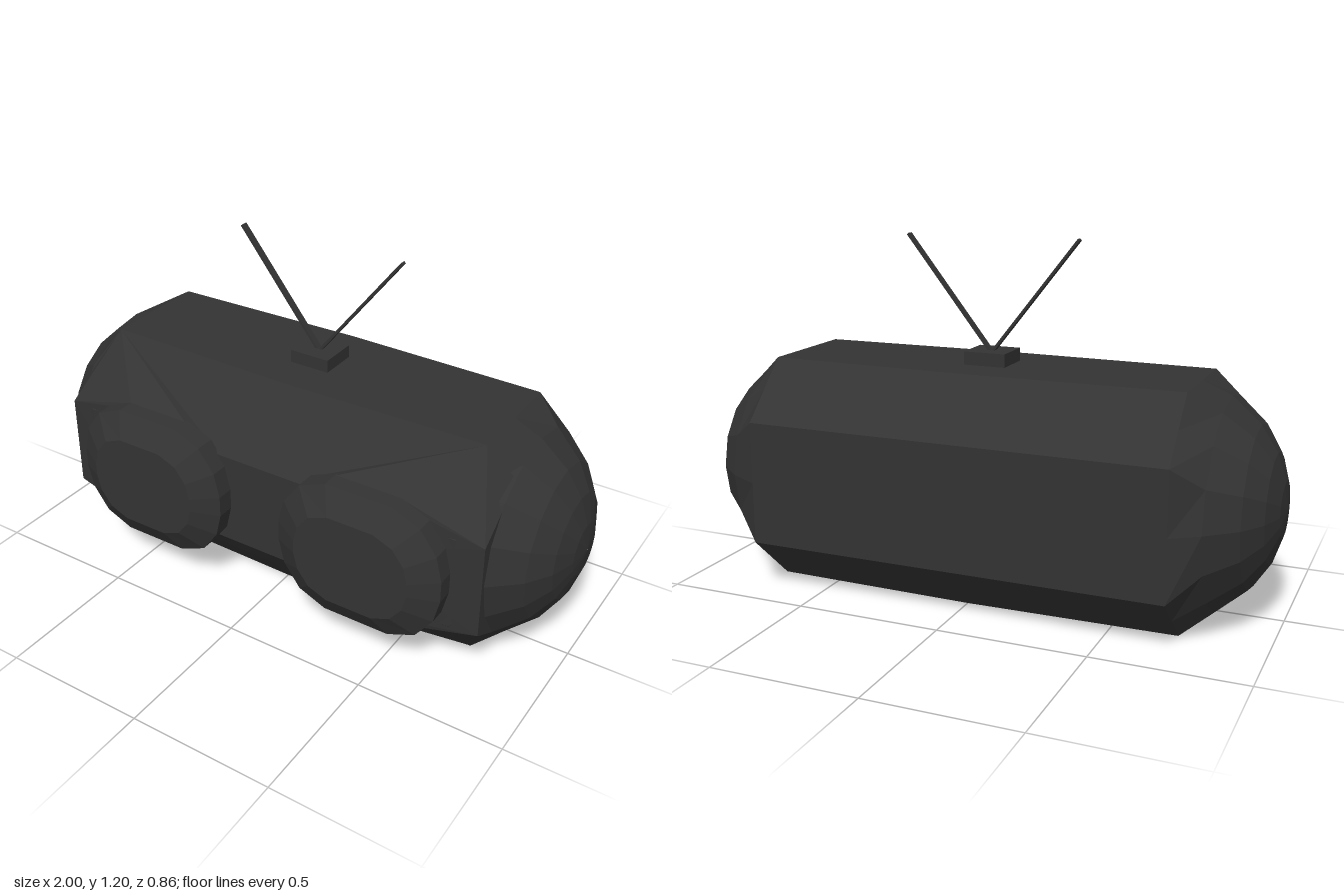
import * as THREE from 'three';
import { ConvexGeometry } from 'three/addons/geometries/ConvexGeometry.js';

const CY = 0.39, CZ = -0.05; // axis of the long body

const material = new THREE.MeshStandardMaterial({ color: 0x333333, flatShading: true });

function mesh(name, geometry) {
  const m = new THREE.Mesh(geometry, material);
  m.name = name;
  return m;
}

// Skin a list of closed rings that all have the same number of points.
function loft(rings) {
  const pos = [];
  const n = rings[0].length;
  for (let i = 0; i < rings.length - 1; i++) {
    for (let j = 0; j < n; j++) {
      const k = (j + 1) % n;
      const a = rings[i][j], b = rings[i + 1][j], c = rings[i][k], d = rings[i + 1][k];
      for (const p of [a, b, d, a, d, c]) pos.push(...p);
    }
  }
  const g = new THREE.BufferGeometry();
  g.setAttribute('position', new THREE.Float32BufferAttribute(pos, 3));
  g.computeVertexNormals();
  return g;
}

// Octagonal cross-section; edge midpoints are added to match the 16-sided domes.
function octagon(x, swell) {
  const c = [
    [0.54, 0.32], [0.78, 0.14 + swell], [0.78, -0.245 - swell], [0.59, -0.43],
    [0.17, -0.43], [0, -0.245 - swell], [0, 0.14 + swell], [0.21, 0.32],
  ];
  const ring = [];
  c.forEach(([y, z], i) => {
    const [y2, z2] = c[(i + 1) % 8];
    ring.push([x, y, z], [x, (y + y2) / 2, (z + z2) / 2]);
  });
  return ring;
}

function domeRing(x, r) {
  return Array.from({ length: 16 }, (_, i) => {
    const t = (i + 1) * Math.PI / 8;
    return [x, CY + r * Math.sin(t), CZ + r * Math.cos(t)];
  });
}

function createBody() {
  const dome = [[0.81, 0.348], [0.905, 0.265], [0.96, 0.18], [0.99, 0.09], [1, 0.001]];
  return mesh('body', loft([
    ...dome.slice().reverse().map(([x, r]) => domeRing(-x, r)),
    octagon(-0.715, 0), octagon(0, 0.015), octagon(0.715, 0),
    ...dome.map(([x, r]) => domeRing(x, r)),
  ]));
}

// Rounded speaker outline, clockwise seen from the front.
function speakerRing(cx, rx, ry, z) {
  const q = [[1, 0.15], [0.93, 0.5], [0.73, 0.83], [0.4, 1]];
  const r = q.slice().reverse();
  const outline = [
    ...r,
    ...q.map(([x, y]) => [x, -y]),
    ...r.map(([x, y]) => [-x, -y]),
    ...q.map(([x, y]) => [-x, y]),
  ];
  return outline.map(([x, y]) => [cx + x * rx, 0.38 + y * ry, z]);
}

function createSpeaker(s) {
  const cx = 0.413 * s;
  return mesh(s > 0 ? 'leftSpeaker' : 'rightSpeaker', loft([
    speakerRing(cx, 0.295, 0.243, 0.31),
    speakerRing(cx, 0.295, 0.243, 0.38),
    speakerRing(cx, 0.205, 0.16, 0.43),
    speakerRing(cx, 0.0005, 0.0005, 0.43),
  ]));
}

// Faceted housing that blends a speaker into the end of the body.
function createHousing(s) {
  const points = speakerRing(0.413 * s, 0.294, 0.242, 0.322);
  for (const v of [1, -1]) {
    points.push(
      [0.715 * s, CY + 0.389 * v, 0.14],
      [0.81 * s, CY + 0.29 * v, 0.12],
      [0.81 * s, 0.375 + 0.165 * v, 0.312],
    );
  }
  return mesh(s > 0 ? 'leftHousing' : 'rightHousing',
    new ConvexGeometry(points.map((p) => new THREE.Vector3(...p))));
}

// Thin flat rod leaning outwards from the base.
function createAntenna(s) {
  const dx = 0.303, dy = 0.385;
  const rod = mesh(s > 0 ? 'leftAntenna' : 'rightAntenna',
    new THREE.BoxGeometry(0.009, Math.hypot(dx, dy), 0.022));
  rod.position.set(s * dx / 2, 0.815 + dy / 2, CZ);
  rod.rotation.z = -s * Math.atan2(dx, dy);
  return rod;
}

export function createModel() {
  const model = new THREE.Group();
  model.name = 'radio';
  model.add(createBody());
  for (const s of [1, -1]) model.add(createHousing(s), createSpeaker(s), createAntenna(s));

  const base = mesh('antennaBase', new THREE.BoxGeometry(0.145, 0.055, 0.135));
  base.position.set(0, 0.797, CZ);
  model.add(base);
  return model;
}
